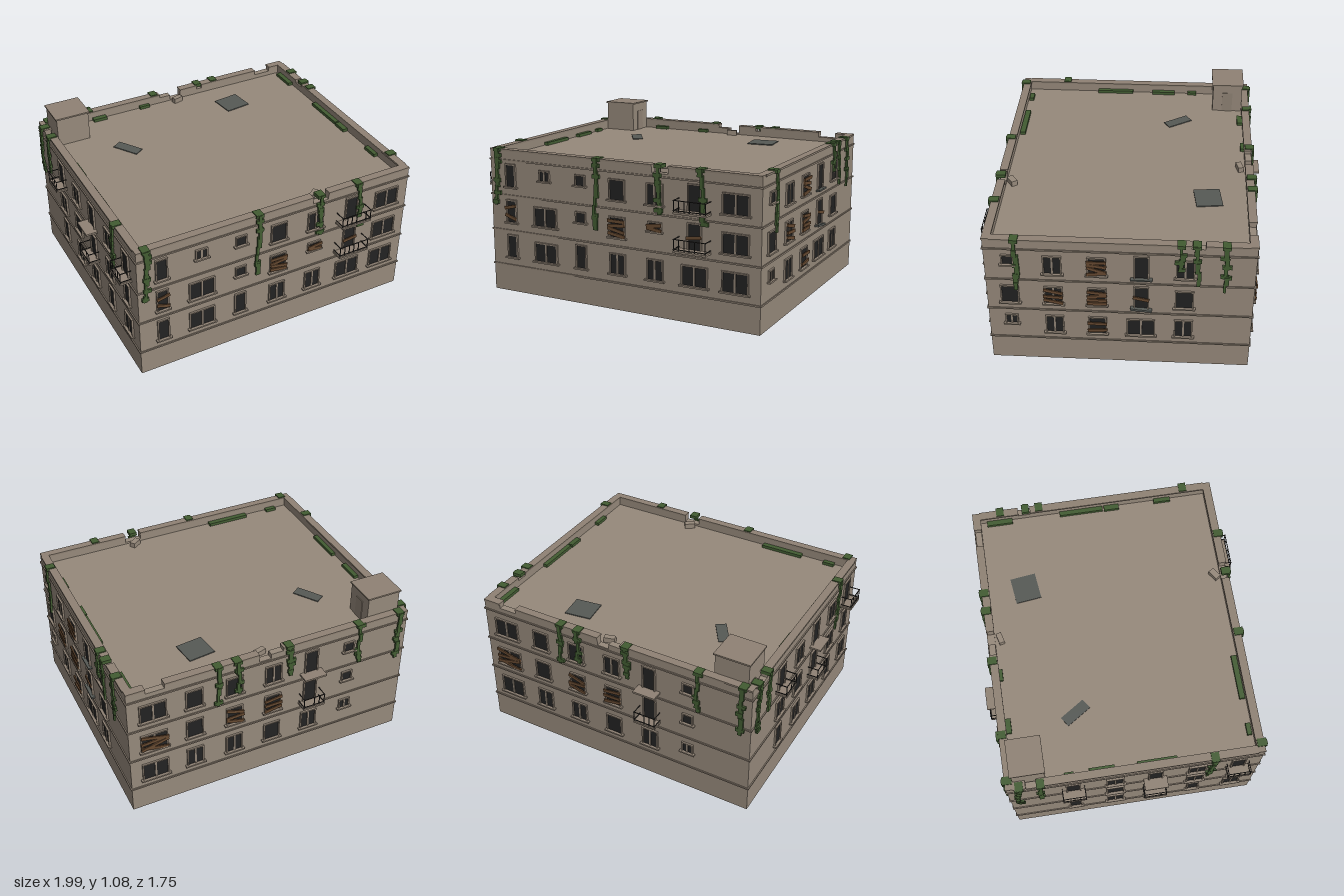
import * as THREE from 'three';

const mat = (name, color) => Object.assign(new THREE.MeshStandardMaterial({ color }), { name });
const wall = mat('wall', 0x96897b);
const trim = mat('trim', 0x8f8274);
const glass = mat('dark glass', 0x222222);
const wood = mat('board wood', 0x664930);
const ivy = mat('ivy', 0x425c32);
const iron = mat('railing iron', 0x2c2a28);
const rubble = mat('grey sheet', 0x565955);

const X0 = -0.92, X1 = 0.97, Z = 0.8, CX = (X0 + X1) / 2, W = X1 - X0;
const ROOF = 0.875, TOP = 0.94;
const ROWS = [0.235, 0.467, 0.7];
const unit = new THREE.BoxGeometry(1, 1, 1);

let seed = 7;
const rnd = () => (seed = (seed * 16807) % 2147483647) / 2147483647;

// box from its size and centre
function box(parent, name, m, w, h, d, x, y, z) {
  const b = new THREE.Mesh(unit, m);
  b.name = name;
  b.scale.set(w, h, d);
  b.position.set(x, y, z);
  parent.add(b);
  return b;
}

// window kinds: width, height, lift above the row's base, number of panes
const KINDS = {
  W: [0.155, 0.115, 0, 2], D: [0.095, 0.12, 0, 2], S: [0.095, 0.12, 0, 1],
  N: [0.062, 0.14, 0, 1], s: [0.058, 0.058, 0.062, 1], d: [0.062, 0.058, 0.062, 2],
  b: [0.075, 0.05, 0.07, 1], P: [0.075, 0.155, -0.012, 1],
};

function addWindow(face, u, row, kind, boards) {
  const [w, h, lift, panes] = KINDS[kind];
  const y0 = ROWS[row] + lift, yc = y0 + h / 2, f = 0.009;
  const g = new THREE.Group();
  g.name = kind === 'P' ? 'balconyDoor' : 'window';
  g.position.set(u, yc, 0);
  face.add(g);
  box(g, 'pane', glass, w, h, 0.006, 0, 0, 0.002);
  for (const s of [-1, 1]) box(g, 'frameSide', trim, f, h + 2 * f, 0.016, s * (w + f) / 2, 0, 0.004);
  box(g, 'frameTop', trim, w, f, 0.016, 0, (h + f) / 2, 0.004);
  if (panes === 2) box(g, 'mullion', trim, 0.011, h, 0.012, 0, 0, 0.004);
  if (kind !== 'P') box(g, 'sill', trim, w + 0.04, 0.01, 0.026, 0, -h / 2 - 0.005, 0.009);
  for (let i = 0; i < boards; i++) {
    const y = (i + 0.5) / boards * h * 0.95 - h * 0.475;
    const b = box(g, 'board', wood, w + 0.025, 0.02, 0.008, 0, y, 0.017 + (i % 2) * 0.003);
    b.rotation.z = (rnd() - 0.55) * 0.6;
  }
}

// slab with an optional thin railing
function addBalcony(face, u, row, w, railed) {
  const g = new THREE.Group(), d = 0.075;
  g.name = 'balcony';
  g.position.set(u, ROWS[row] - 0.017, 0);
  face.add(g);
  box(g, 'balconySlab', trim, w, 0.012, d, 0, 0, d / 2);
  if (!railed) return;
  const h = 0.075, t = 0.0045, e = w / 2 - t, n = Math.round(w / 0.036);
  for (const y of [0.015, h]) {
    box(g, 'frontRail', iron, w, t, t, 0, y, d - t);
    for (const s of [-1, 1]) box(g, 'sideRail', iron, t, t, d, s * e, y, d / 2);
  }
  for (let i = 0; i <= n; i++) {
    if (i > 0 && i < n && rnd() < 0.3) continue;
    box(g, 'railPost', iron, t, h, t, -e + 2 * e * i / n, h / 2, d - t);
  }
}

// ivy hanging from the parapet as a wandering chain of blocks
function addVine(face, u, bottom) {
  const g = new THREE.Group();
  g.name = 'hangingIvy';
  face.add(g);
  box(g, 'ivyTop', ivy, 0.05, 0.022, 0.06, u, TOP - 0.004, -0.011);
  let x = u, y = TOP;
  while (y > bottom + 0.01) {
    const h = Math.min(0.035 + rnd() * 0.05, y - bottom);
    box(g, 'ivyStem', ivy, 0.016 + rnd() * 0.016, h + 0.01, 0.012, x, y - h / 2, 0.012 + rnd() * 0.006);
    if (rnd() < 0.65) box(g, 'ivyLeaves', ivy, 0.035 + rnd() * 0.025, 0.024, 0.014, x + (rnd() - 0.5) * 0.02, y - h * rnd(), 0.014);
    y -= h;
    x += (rnd() - 0.5) * 0.024;
  }
}

// each face: window list as [u, kinds of rows 1 to 3 with board counts], balconies, ivy
const FACES = [
  { name: 'frontFace', at: [0, 0, Z], turn: 0,
    windows: [[-0.765, 'N0 N2 N0'], [-0.505, 'W0 W0 d0'], [-0.24, 'N0 s0 s0'], [0.022, 'D0 S4 S0'],
      [0.283, 'D0 b2 D0'], [0.547, 'W0 P1 P0'], [0.81, 'W0 W0 W0']],
    balconies: [[0.547, 1, 0.215, 1], [0.547, 2, 0.215, 1]],
    vines: [[-0.86, 0.58], [-0.12, 0.5], [0.31, 0.65], [0.585, 0.62]] },
  { name: 'rightFace', at: [X1, 0, 0], turn: Math.PI / 2,
    windows: [[-0.66, 'd0 S0 s0'], [-0.397, 'D0 D3 D0'], [-0.135, 'S2 S4 S4'], [0.13, 'W0 P1 P0'], [0.388, 'D0 S0 D0']],
    balconies: [],
    vines: [[-0.615, 0.58], [0.36, 0.76], [0.45, 0.65], [0.62, 0.61]] },
  { name: 'backFace', at: [0, 0, -Z], turn: Math.PI,
    windows: [[-0.81, 'W0 W4 W0'], [-0.547, 'D0 S0 S0'], [-0.283, 'D0 S3 S0'], [-0.022, 'S0 S3 D0'],
      [0.24, 'D0 P0 P0'], [0.505, 'd0 s0 s0']],
    balconies: [[0.24, 1, 0.15, 1], [0.24, 2, 0.15, 0]],
    vines: [[-0.39, 0.66], [-0.265, 0.7], [0.08, 0.72], [0.57, 0.66], [0.86, 0.6]] },
  { name: 'leftFace', at: [X0, 0, 0], turn: -Math.PI / 2,
    windows: [[-0.395, 'N0 D0 P0'], [-0.13, 'D0 S0 D0'], [0.125, 'D0 P0 P0'], [0.39, 'N0 D0 D0'], [0.65, 'D0 N0 P0']],
    balconies: [[-0.395, 2, 0.15, 1], [0.125, 1, 0.15, 1], [0.125, 2, 0.15, 0], [0.65, 2, 0.15, 1]],
    vines: [[-0.72, 0.6], [-0.59, 0.66], [0.49, 0.58]] },
];

// parapet run along x or z, made of [start, end, height] pieces so that gaps look broken
function addParapet(g, alongX, across, pieces) {
  const t = 0.042;
  for (const [a, b, top] of pieces) {
    const h = top - ROOF + 0.01, c = (a + b) / 2, y = top - h / 2 - 0.005;
    const put = (name, m, hh, tt, yy) => alongX
      ? box(g, name, m, b - a, hh, tt, c, yy, across)
      : box(g, name, m, tt, hh, b - a, across, yy, c);
    put('parapet', wall, h - 0.01, t, y);
    if (top === TOP) put('coping', trim, 0.012, t + 0.01, TOP - 0.006);
  }
}

export function createModel() {
  const model = new THREE.Group();
  model.name = 'apartmentBlock';
  box(model, 'mainBlock', wall, W, ROOF, 2 * Z, CX, ROOF / 2, 0);

  // string courses between floors
  for (const y of [0.176, 0.409, 0.641, 0.87]) {
    for (const s of [-1, 1]) {
      box(model, 'stringCourse', trim, W + 0.014, 0.01, 0.007, CX, y, s * (Z + 0.0035));
      box(model, 'stringCourse', trim, 0.007, 0.01, 2 * Z, CX + s * (W / 2 + 0.0035), y, 0);
    }
  }

  // broken parapet
  const parapet = new THREE.Group();
  parapet.name = 'parapets';
  model.add(parapet);
  addParapet(parapet, true, Z - 0.021, [[X0, 0.26, TOP], [0.26, 0.37, 0.9], [0.37, X1, TOP]]);
  addParapet(parapet, true, -Z + 0.021, [[X0, -0.04, TOP], [-0.04, 0.04, 0.925], [0.04, 0.12, 0.893],
    [0.12, 0.25, TOP], [0.25, 0.29, 0.92], [0.29, 0.73, TOP], [0.73, 0.85, 0.915], [0.85, X1, TOP]]);
  addParapet(parapet, false, X0 + 0.021, [[-Z + 0.042, -0.68, TOP], [-0.68, -0.61, 0.915], [-0.61, Z - 0.042, TOP]]);
  addParapet(parapet, false, X1 - 0.021, [[-Z + 0.042, -0.5, TOP], [-0.5, -0.42, 0.925], [-0.42, Z - 0.042, TOP]]);

  // stair head
  box(model, 'stairHead', wall, 0.22, 0.2, 0.2, -0.762, ROOF + 0.1, -0.655);
  box(model, 'stairHeadCap', trim, 0.236, 0.01, 0.216, -0.762, 1.075, -0.655);
  box(model, 'stairHeadDoor', trim, 0.006, 0.14, 0.07, -0.651, ROOF + 0.07, -0.655);

  // loose sheets and fallen chunks on the roof
  box(model, 'roofSheet', rubble, 0.07, 0.006, 0.18, -0.48, ROOF + 0.003, -0.315).rotation.y = 0.58;
  box(model, 'roofSheet', rubble, 0.175, 0.006, 0.165, 0.41, ROOF + 0.003, -0.518).rotation.y = 0.12;
  box(model, 'fallenChunk', wall, 0.07, 0.035, 0.035, 0.08, ROOF + 0.017, -0.722).rotation.y = 0.25;
  box(model, 'fallenChunk', wall, 0.07, 0.035, 0.04, 0.315, ROOF + 0.017, 0.72).rotation.y = 0.6;

  // ivy creeping over the roof edge: [x, z, width, depth]
  for (const [x, z, w, d] of [[-0.87, -0.41, 0.035, 0.06], [-0.865, -0.205, 0.035, 0.16], [-0.865, 0.14, 0.03, 0.25],
    [0.912, -0.63, 0.035, 0.17], [0.912, -0.08, 0.03, 0.29], [0.91, 0.125, 0.035, 0.1], [0.915, 0.47, 0.03, 0.11],
    [-0.75, 0.735, 0.075, 0.03], [-0.405, 0.735, 0.29, 0.035], [-0.505, -0.74, 0.095, 0.035], [-0.165, -0.75, 0.075, 0.03]])
    box(model, 'roofIvy', ivy, w, 0.02, d, x, ROOF + 0.01, z);

  // facades
  for (const f of FACES) {
    const face = new THREE.Group();
    face.name = f.name;
    face.position.set(...f.at);
    face.rotation.y = f.turn;
    model.add(face);
    for (const [u, rows] of f.windows)
      rows.split(' ').forEach((k, i) => addWindow(face, u, i, k[0], +k[1]));
    for (const b of f.balconies) addBalcony(face, ...b);
    for (const v of f.vines) addVine(face, ...v);
  }

  // remains of collapsed balconies on the right face
  const right = model.getObjectByName('rightFace');
  box(right, 'brokenSlab', rubble, 0.13, 0.01, 0.026, 0.13, 0.682, 0.013);
  box(right, 'brokenSlab', rubble, 0.13, 0.014, 0.026, 0.13, 0.447, 0.013).rotation.z = -0.1;
  return model;
}
